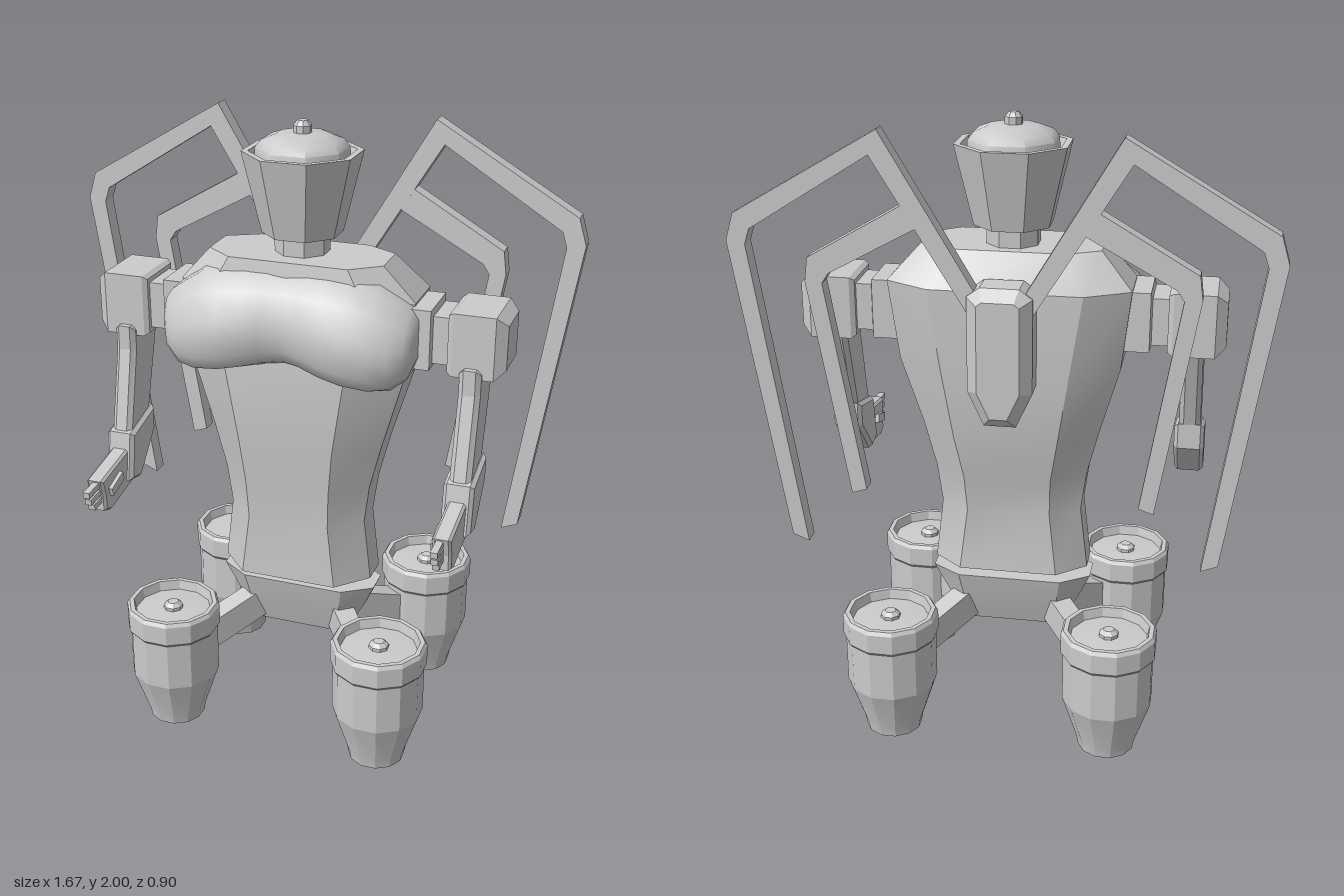
import * as THREE from 'three';
import { toCreasedNormals } from 'three/addons/utils/BufferGeometryUtils.js';

const material = new THREE.MeshStandardMaterial({ color: 0xcccccc });

function add(parent, name, geometry, crease = 0.45) {
  const mesh = new THREE.Mesh(toCreasedNormals(geometry, crease), material);
  mesh.name = name;
  parent.add(mesh);
  return mesh;
}

// Skin over closed rings of [x, y, z], counterclockwise seen from the last ring, with capped ends
function loft(rings) {
  const n = rings[0].length, pos = rings.flat(2), index = [];
  for (let i = 0; i < rings.length - 1; i++) {
    for (let j = 0; j < n; j++) {
      const k = (j + 1) % n, a = i * n, b = a + n;
      index.push(a + j, a + k, b + k, a + j, b + k, b + j);
    }
  }
  const last = (rings.length - 1) * n;
  for (let j = 1; j < n - 1; j++) index.push(0, j + 1, j, last, last + j, last + j + 1);
  const g = new THREE.BufferGeometry();
  g.setAttribute('position', new THREE.Float32BufferAttribute(pos, 3));
  g.setIndex(index);
  g.computeVertexNormals();
  return g;
}

// Eight-cornered body ring: half width, front and back flats, side flat
const bodyRing = ([y, hx, fx, zf, bx, zb, sf, sb]) => [
  [hx, y, sf], [hx, y, sb], [bx, y, zb], [-bx, y, zb],
  [-hx, y, sb], [-hx, y, sf], [-fx, y, zf], [fx, y, zf],
];

const rectRing = ([y, hx, hz]) => [[hx, y, hz], [hx, y, -hz], [-hx, y, -hz], [-hx, y, hz]];

function lathe(profile, sides) {
  return new THREE.LatheGeometry(profile.map(p => new THREE.Vector2(...p)), sides).rotateY(Math.PI / sides);
}

// Flat plate with an optional chamfer, centred on its thickness
function plate(points, thickness, bevel = 0) {
  const depth = thickness - 2 * bevel;
  return new THREE.ExtrudeGeometry(new THREE.Shape(points.map(p => new THREE.Vector2(...p))), {
    depth, bevelEnabled: bevel > 0, bevelThickness: bevel, bevelSize: bevel, bevelOffset: -bevel, bevelSegments: 1,
  }).translate(0, 0, -depth / 2);
}

// Plate drawn in (z, y), its thickness along x
const sidePlate = (points, thickness, bevel) => plate(points, thickness, bevel).rotateY(-Math.PI / 2);

// Square bar from point a to point b
function bar(a, b, width, height) {
  const from = new THREE.Vector3(...a), to = new THREE.Vector3(...b);
  const g = new THREE.BoxGeometry(width, height, from.distanceTo(to));
  const m = new THREE.Matrix4().lookAt(to, from, new THREE.Vector3(0, 1, 0));
  return g.applyMatrix4(m.setPosition(from.add(to).multiplyScalar(0.5)));
}

// Smooth two-lobed chest: cross-sections run across x
function chestGeometry() {
  // |x|, top y, bottom y, front z
  const stations = [
    [0, 1.57, 1.285, 0.22], [0.06, 1.575, 1.28, 0.237], [0.13, 1.575, 1.262, 0.256],
    [0.2, 1.57, 1.248, 0.265], [0.28, 1.55, 1.238, 0.255], [0.34, 1.51, 1.247, 0.235],
    [0.38, 1.48, 1.275, 0.205], [0.4, 1.45, 1.33, 0.17],
  ];
  const all = [...stations.slice(1).reverse().map(([x, ...r]) => [-x, ...r]), ...stations];
  return loft(all.map(([x, top, bottom, z]) => {
    const y = t => bottom + (top - bottom) * t, back = Math.abs(x) > 0.3 ? 0.05 : 0.1;
    return [
      [x, y(1), back], [x, y(0.98), 0.14], [x, y(0.8), 0.14 + (z - 0.14) * 0.55], [x, y(0.55), z - 0.004],
      [x, y(0.38), z], [x, y(0.2), z - 0.005], [x, y(0.06), z - 0.03], [x, y(0), Math.min(0.17, z - 0.06)], [x, y(0), back],
    ];
  }));
}

function buildBody(g) {
  add(g, 'torso', loft([
    [0.51, 0.255, 0.16, 0.15, 0.16, -0.13, 0.05, -0.05],
    [0.72, 0.23, 0.135, 0.145, 0.135, -0.115, 0.05, -0.05],
    [0.85, 0.247, 0.14, 0.155, 0.14, -0.14, 0.055, -0.055],
    [1.0, 0.285, 0.155, 0.17, 0.165, -0.17, 0.06, -0.06],
    [1.23, 0.35, 0.19, 0.18, 0.2, -0.185, 0.07, -0.09],
    [1.49, 0.38, 0.25, 0.16, 0.24, -0.185, 0.06, -0.11],
    [1.6, 0.28, 0.19, 0.14, 0.18, -0.115, 0.07, -0.06],
  ].map(bodyRing)));
  add(g, 'chest', chestGeometry(), 1);
  add(g, 'pelvis', loft([
    [0.28, 0.17, 0.14, 0.05, 0.14, -0.05, 0.03, -0.03],
    [0.4, 0.235, 0.16, 0.09, 0.16, -0.09, 0.03, -0.03],
    [0.47, 0.265, 0.17, 0.108, 0.17, -0.108, 0.045, -0.045],
  ].map(bodyRing)), 0.2);
  add(g, 'backpack', plate([
    [-0.1, 1.5], [-0.1, 1.2], [-0.05, 1.09], [0.05, 1.09], [0.1, 1.2], [0.1, 1.5], [0.06, 1.53], [-0.06, 1.53],
  ], 0.16, 0.035), 0.2).position.z = -0.22;
}

function buildHead(g) {
  add(g, 'neck', lathe([[0.086, 1.58], [0.086, 1.67]], 8));
  add(g, 'head', lathe([[0, 1.66], [0.126, 1.66], [0.186, 1.91], [0.165, 1.91], [0.155, 1.88], [0, 1.88]], 8));
  add(g, 'headDome', lathe([[0.145, 1.88], [0.143, 1.92], [0.125, 1.943], [0.08, 1.96], [0, 1.965]], 8), 0.9);
  add(g, 'headKnob', lathe([[0.028, 1.95], [0.028, 1.985], [0.016, 2], [0, 2]], 8));
}

function buildArm(g, s) {
  const arm = new THREE.Group();
  arm.name = s > 0 ? 'leftArm' : 'rightArm';
  g.add(arm);
  // Shoulder: stepped mount and chamfered block, [distance from centre, half height, half depth]
  const shoulder = loft([
    [0.33, 0.095, 0.09], [0.435, 0.095, 0.09], [0.44, 0.075, 0.075], [0.49, 0.075, 0.075],
    [0.49, 0.09, 0.09], [0.505, 0.1, 0.1], [0.635, 0.1, 0.1], [0.668, 0.07, 0.072],
  ].map(rectRing)).rotateZ(-s * Math.PI / 2).translate(0, 1.387, 0);
  add(arm, 'shoulder', shoulder, 0.2);
  const parts = [
    ['upperArm', [[0.12, 1.32], [-0.08, 1.32], [-0.06, 1.27], [0.04, 0.95], [0.19, 0.93], [0.12, 1.24]], 0.068, 0.015],
    ['forearm', [[0.19, 0.975], [0.02, 1.015], [0.02, 0.93], [0.14, 0.8], [0.215, 0.815]], 0.096, 0.012],
    ['hand', [[0.14, 0.93], [0.385, 0.89], [0.37, 0.83], [0.37, 0.78], [0.33, 0.765], [0.14, 0.8]], 0.058, 0.008],
  ];
  for (const [name, points, width, bevel] of parts) {
    add(arm, name, sidePlate(points, width, bevel), 0.2).position.x = s * 0.567;
  }
  [[0.45, 0.87], [0.44, 0.842], [0.42, 0.815]].forEach(([z, y], i) => {
    add(arm, 'finger' + (i + 1), bar([s * 0.562, y + 0.008, 0.33], [s * 0.562, y, z], 0.022, 0.02));
  });
  add(arm, 'thumb', bar([s * 0.535, 0.86, 0.26], [s * 0.535, 0.835, 0.34], 0.02, 0.03));
}

function buildWing(g, s) {
  const wing = new THREE.Group();
  wing.name = s > 0 ? 'leftWing' : 'rightWing';
  wing.position.z = -0.231;
  g.add(wing);
  const mirror = points => points.map(([x, y]) => [s * x, y]);
  add(wing, 'outerWingFrame', plate(mirror([
    [0.024, 1.425], [0.357, 1.985], [0.807, 1.722], [0.833, 1.637], [0.685, 0.658],
    [0.632, 0.638], [0.775, 1.627], [0.759, 1.675], [0.384, 1.91], [0.077, 1.41],
  ].map(([x, y]) => (y === 0.658 ? [0.685, 0.66] : [x, y]))), 0.056), 0.2);
  add(wing, 'innerWingFrame', plate(mirror([
    [0.27, 1.778], [0.585, 1.595], [0.595, 1.52], [0.479, 0.823],
    [0.431, 0.839], [0.542, 1.516], [0.521, 1.548], [0.235, 1.705],
  ]), 0.054), 0.2);
}

function buildThruster(g, sx, sz) {
  const x = sx * 0.357, z = sz > 0 ? 0.283 : -0.303;
  const thruster = new THREE.Group();
  thruster.name = (sz > 0 ? 'front' : 'back') + (sx > 0 ? 'Left' : 'Right') + 'Thruster';
  g.add(thruster);
  const can = add(thruster, 'thrusterCan', lathe([
    [0, 0], [0.092, 0], [0.097, 0.03], [0.147, 0.18], [0.147, 0.345], [0.155, 0.355], [0.155, 0.42],
    [0.147, 0.432], [0.132, 0.432], [0.125, 0.4], [0.05, 0.407], [0, 0.407],
  ], 12), 0.25);
  const knob = add(thruster, 'thrusterKnob', lathe([[0.032, 0.4], [0.032, 0.418], [0.018, 0.43], [0, 0.43]], 8));
  for (const mesh of [can, knob]) mesh.position.set(x, 0, z);
  add(thruster, 'thrusterStrut', bar([sx * 0.13, 0.355, sz * 0.02], [sx * 0.29, 0.265, sz * 0.21], 0.07, 0.1));
}

export function createModel() {
  const model = new THREE.Group();
  model.name = 'hoveringRobot';
  buildBody(model);
  buildHead(model);
  for (const s of [1, -1]) {
    buildArm(model, s);
    buildWing(model, s);
    for (const sz of [1, -1]) buildThruster(model, s, sz);
  }
  return model;
}
